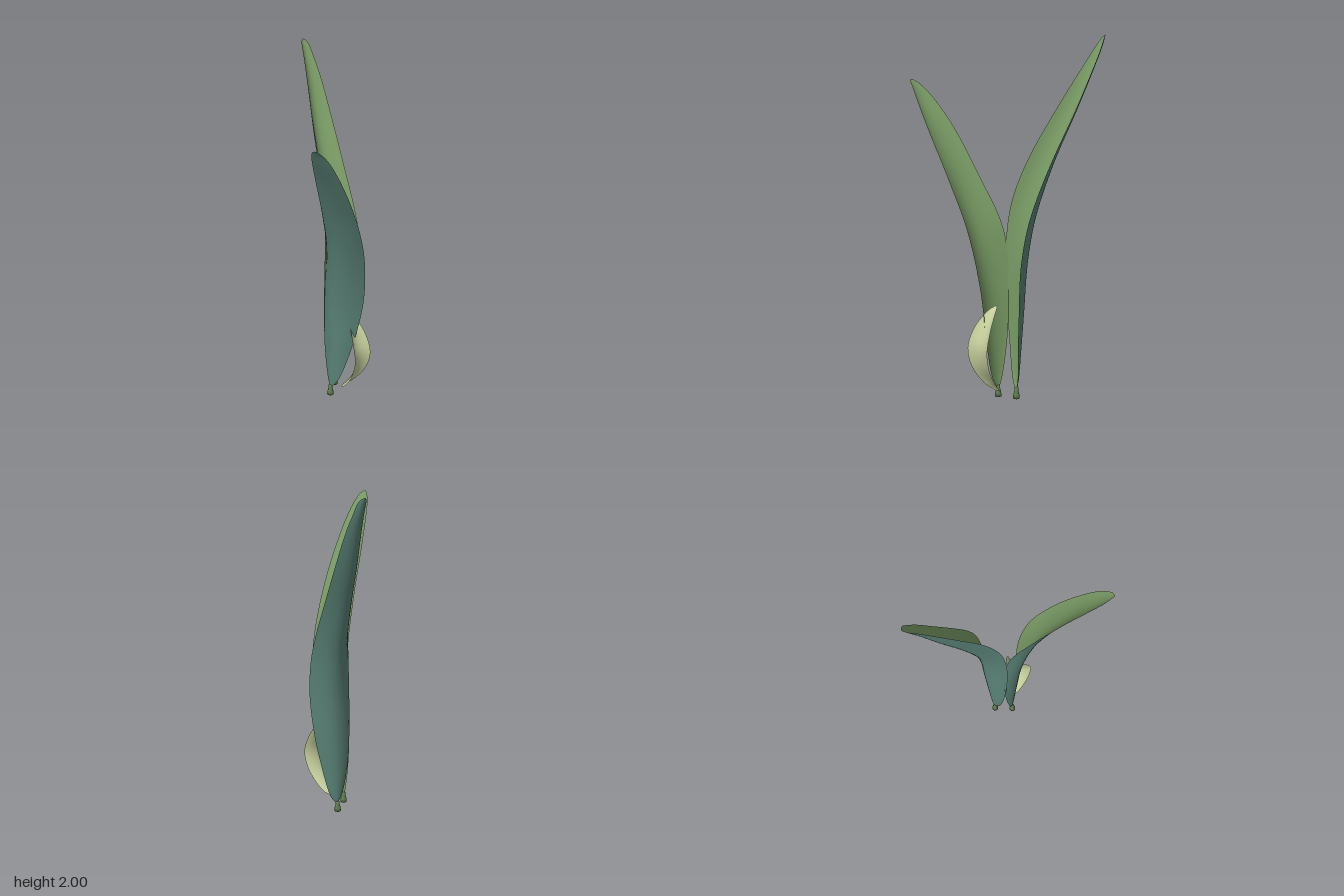
import * as THREE from 'three';

const mat = (name, color, side = THREE.FrontSide) => {
  const m = new THREE.MeshStandardMaterial({ color, side });
  m.name = name;
  return m;
};

// Each row: [height, edge x, edge z, midrib x, midrib z, other edge x, other edge z]
const tallLeafRows = [
  [0.05, 0.14, 0.057, 0.145, 0.055, 0.15, 0.058],
  [0.075, 0.122, 0.053, 0.147, 0.05, 0.168, 0.072],
  [0.13, 0.102, 0.047, 0.152, 0.047, 0.187, 0.085],
  [0.28, 0.076, 0.038, 0.163, 0.044, 0.213, 0.11],
  [0.5, 0.056, 0.04, 0.177, 0.04, 0.245, 0.135],
  [0.76, 0.05, 0.047, 0.19, 0.032, 0.268, 0.145],
  [0.97, 0.06, 0.042, 0.2, 0.002, 0.285, 0.115],
  [1.13, 0.085, 0.022, 0.213, -0.042, 0.302, 0.063],
  [1.34, 0.138, -0.045, 0.245, -0.115, 0.33, -0.03],
  [1.6, 0.223, -0.168, 0.306, -0.218, 0.375, -0.157],
  [1.8, 0.297, -0.268, 0.356, -0.293, 0.401, -0.252],
  [1.92, 0.344, -0.329, 0.381, -0.341, 0.408, -0.314],
  [1.97, 0.364, -0.357, 0.389, -0.36, 0.407, -0.339],
  [1.99, 0.376, -0.368, 0.391, -0.368, 0.402, -0.355],
  [2.0, 0.388, -0.373, 0.391, -0.372, 0.394, -0.369],
];
const shortLeafRows = [
  [0.05, 0.046, 0.105, 0.045, 0.1, 0.046, 0.095],
  [0.08, 0.05, 0.13, 0.045, 0.105, 0.05, 0.083],
  [0.135, 0.056, 0.16, 0.043, 0.112, 0.053, 0.07],
  [0.335, 0.08, 0.22, 0.036, 0.135, 0.06, 0.043],
  [0.65, 0.1, 0.283, 0.018, 0.162, 0.066, 0.037],
  [0.95, 0.05, 0.323, -0.033, 0.195, 0.047, 0.062],
  [1.235, -0.07, 0.357, -0.125, 0.24, -0.077, 0.126],
  [1.5, -0.218, 0.373, -0.25, 0.287, -0.217, 0.188],
  [1.66, -0.318, 0.368, -0.343, 0.312, -0.322, 0.246],
  [1.72, -0.363, 0.358, -0.378, 0.322, -0.369, 0.28],
  [1.745, -0.388, 0.35, -0.395, 0.327, -0.39, 0.302],
  [1.76, -0.404, 0.336, -0.406, 0.33, -0.405, 0.325],
];
const sheathRows = [
  [0.05, 0.092, 0.147, 0.098, 0.146, 0.105, 0.147],
  [0.065, 0.066, 0.167, 0.096, 0.155, 0.125, 0.167],
  [0.1, 0.042, 0.205, 0.091, 0.183, 0.141, 0.205],
  [0.2, 0.018, 0.272, 0.09, 0.245, 0.16, 0.272],
  [0.31, 0.013, 0.298, 0.091, 0.268, 0.167, 0.296],
  [0.42, 0.031, 0.267, 0.097, 0.24, 0.16, 0.265],
  [0.5, 0.068, 0.219, 0.107, 0.204, 0.145, 0.219],
  [0.53, 0.09, 0.193, 0.112, 0.185, 0.133, 0.193],
  [0.545, 0.112, 0.174, 0.115, 0.174, 0.118, 0.174],
];

// Cupped blade through three rails; bulge pushes the midrib further from the edges
function blade(rows, bulge = 0, flip = false, nt = 84, ns = 16) {
  const rails = [1, 3, 5].map((k) => new THREE.CatmullRomCurve3(
    rows.map((r) => new THREE.Vector3(r[k], r[0], r[k + 1]))));
  const pos = [], idx = [];
  for (let i = 0; i <= nt; i++) {
    const [a, c, b] = rails.map((r) => r.getPoint(i / nt));
    const mid = a.clone().add(b).multiplyScalar(0.5);
    const ctrl = c.clone().addScaledVector(c.clone().sub(mid), bulge)
      .multiplyScalar(2).sub(mid);
    const section = new THREE.QuadraticBezierCurve3(a, ctrl, b);
    for (let j = 0; j <= ns; j++) pos.push(...section.getPoint(j / ns).toArray());
  }
  for (let i = 0; i < nt; i++) {
    for (let j = 0; j < ns; j++) {
      const p = i * (ns + 1) + j, q = p + 1, r = p + ns + 1, s = r + 1;
      if (flip) idx.push(p, r, q, q, r, s);
      else idx.push(p, q, r, q, s, r);
    }
  }
  const g = new THREE.BufferGeometry();
  g.setAttribute('position', new THREE.Float32BufferAttribute(pos, 3));
  g.setIndex(idx);
  g.computeVertexNormals();
  return g;
}

export function createModel() {
  const inner = mat('leaf green', 0x789a64);
  const outer = mat('blue green underside', 0x5b8478);
  const pale = mat('pale sheath', 0xc9d39f, THREE.DoubleSide);
  const stem = mat('stalk green', 0x5f7d4c);

  const model = new THREE.Group();
  model.name = 'sprout';
  const add = (parent, name, geometry, material) => {
    const m = new THREE.Mesh(geometry, material);
    m.name = name;
    parent.add(m);
    return m;
  };

  // Leaves: green inside, blue green outside, each on a short flared stalk
  const leaves = [
    ['tallLeaf', tallLeafRows, 0.145, 0.055],
    ['shortLeaf', shortLeafRows, 0.045, 0.1],
  ];
  for (const [name, rows, x, z] of leaves) {
    const leaf = new THREE.Group();
    leaf.name = name;
    add(leaf, name + 'Inside', blade(rows), inner);
    add(leaf, name + 'Outside', blade(rows, 0.08, true), outer);
    const profile = [[0, 0], [0.019, 0], [0.017, 0.02], [0.011, 0.045], [0.011, 0.06], [0, 0.065]]
      .map((p) => new THREE.Vector2(...p));
    add(leaf, name + 'Stalk', new THREE.LatheGeometry(profile, 16), stem).position.set(x, 0, z);
    model.add(leaf);
  }

  // Small saddle-shaped sheath in front of the leaf bases
  add(model, 'sheath', blade(sheathRows, 0, false, 40, 14), pale);
  return model;
}
